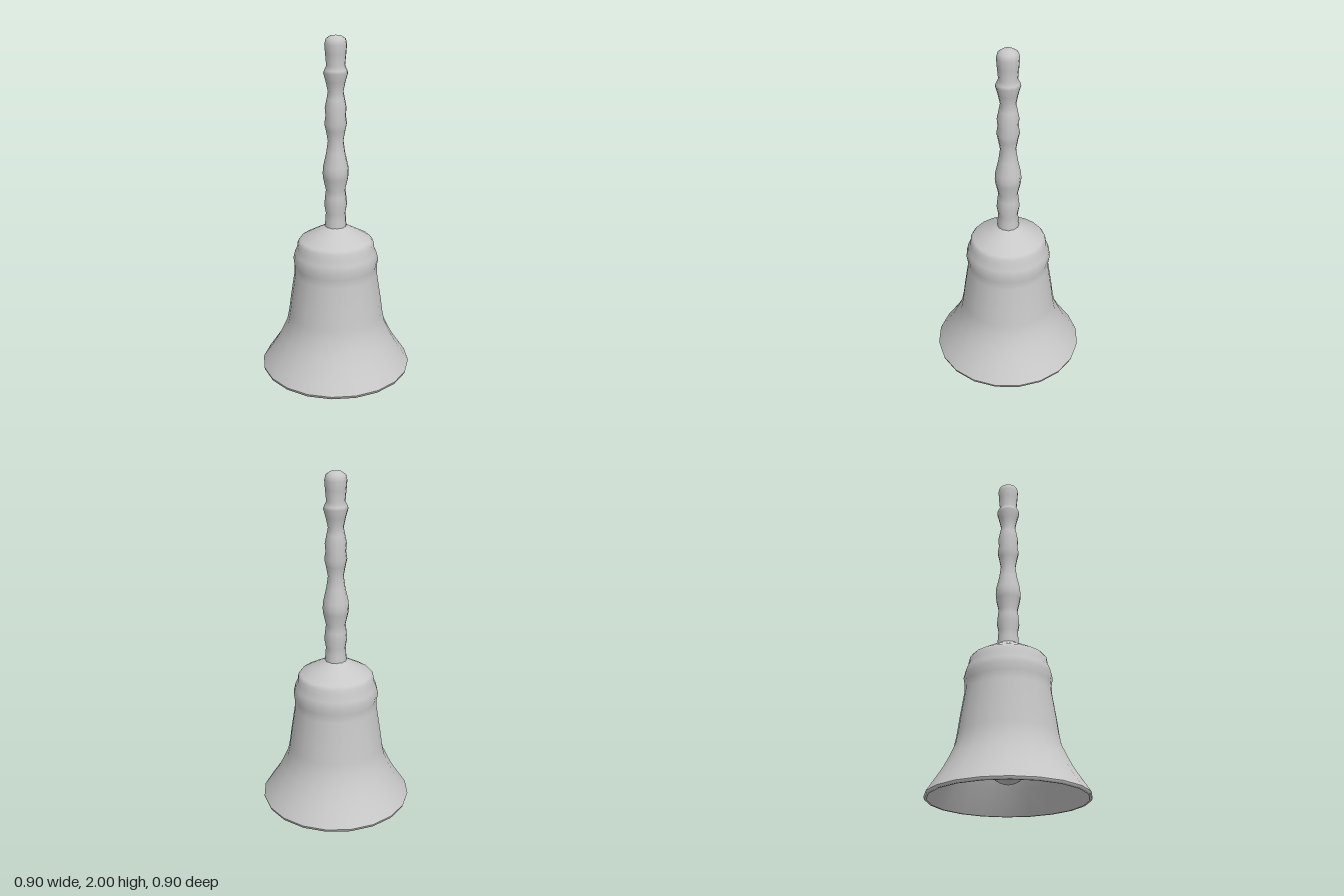
import * as THREE from 'three';

export function createModel() {
  const bell = new THREE.Group();
  bell.name = 'handBell';
  const metal = new THREE.MeshStandardMaterial({ color: 0xc8c8c8 });
  metal.name = 'paleGrey';

  const add = (name, geometry, y = 0) => {
    const mesh = new THREE.Mesh(geometry, metal);
    mesh.name = name;
    mesh.position.y = y;
    bell.add(mesh);
  };
  // Turned part from [radius, height] pairs; rising profiles face outward
  const turn = (name, profile, sides) =>
    add(name, new THREE.LatheGeometry(profile.map(([r, y]) => new THREE.Vector2(r, y)), sides));

  // Flared outer wall, waist band and sloping shoulder
  turn('bellOuter', [
    [0.45, 0.015], [0.41, 0.075], [0.365, 0.143], [0.33, 0.21], [0.298, 0.28],
    [0.284, 0.35], [0.272, 0.44], [0.247, 0.6], [0.246, 0.65], [0.253, 0.69],
    [0.243, 0.73], [0.228, 0.765], [0.225, 0.795], [0.21, 0.815], [0.14, 0.855],
    [0.075, 0.89], [0.06, 0.9],
  ], 20);

  // Thin lip around the mouth
  turn('bellLip', [[0.435, 0], [0.446, 0], [0.45, 0.015]], 20);

  // Hollow inside, running downward so it faces the axis
  turn('bellInner', [
    [0, 0.83], [0.14, 0.82], [0.205, 0.78], [0.225, 0.69], [0.225, 0.6],
    [0.25, 0.44], [0.263, 0.35], [0.28, 0.28], [0.345, 0.143], [0.435, 0],
  ], 20);

  // Turned handle with beads, waists and a rounded end
  turn('handle', [
    [0.066, 0.87], [0.061, 0.94], [0.058, 0.98], [0.067, 1.03], [0.062, 1.08], [0.057, 1.12],
    [0.073, 1.19], [0.076, 1.22], [0.073, 1.26], [0.055, 1.34], [0.045, 1.41],
    [0.056, 1.47], [0.065, 1.51], [0.058, 1.555], [0.062, 1.6], [0.052, 1.65], [0.044, 1.69],
    [0.056, 1.745], [0.07, 1.795], [0.065, 1.81], [0.053, 1.835], [0.059, 1.9],
    [0.063, 1.95], [0.056, 1.98], [0.032, 1.996], [0, 2],
  ], 12);

  // Clapper hanging inside
  add('clapperRod', new THREE.CylinderGeometry(0.02, 0.02, 0.58, 10), 0.54);
  add('clapperBall', new THREE.SphereGeometry(0.108, 20, 14), 0.19);

  return bell;
}
